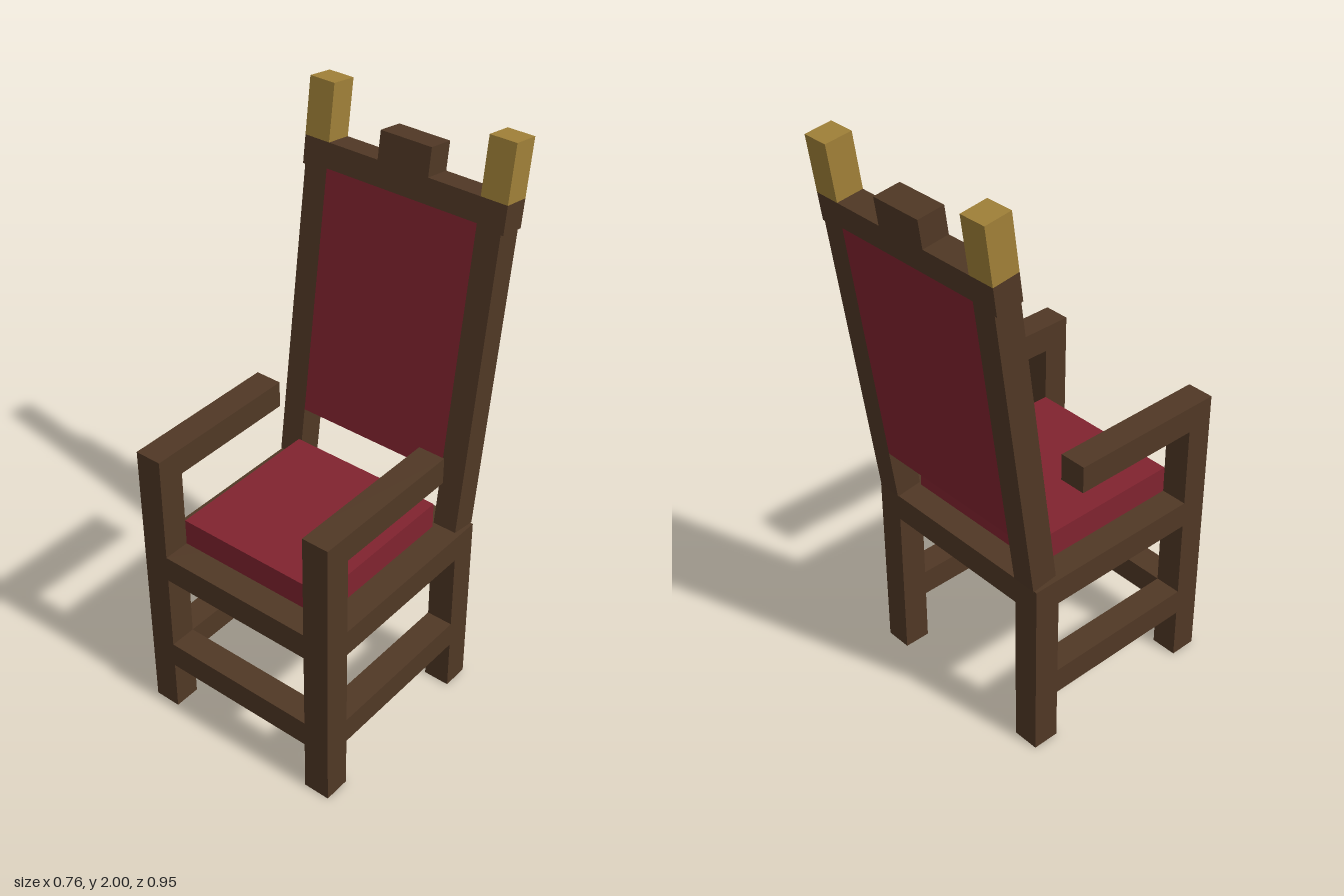
import * as THREE from 'three';

const U = 2 / 21; // timber thickness, the module of the whole chair

export function createModel() {
  const mat = (name, color) => {
    const m = new THREE.MeshStandardMaterial({ color });
    m.name = name;
    return m;
  };
  const wood = mat('dark wood', 0x503825);
  const fabric = mat('red upholstery', 0x80232f);
  const gold = mat('old gold', 0xa08038);

  const chair = new THREE.Group();
  chair.name = 'armchair';

  // Box given by its extents on each axis
  const box = (parent, name, material, [x0, x1], [y0, y1], [z0, z1]) => {
    const mesh = new THREE.Mesh(new THREE.BoxGeometry(x1 - x0, y1 - y0, z1 - z0), material);
    mesh.position.set((x0 + x1) / 2, (y0 + y1) / 2, (z0 + z1) / 2);
    mesh.name = name;
    parent.add(mesh);
  };
  // The same box on both sides of the chair
  const pair = (parent, name, material, [x0, x1], y, z) => {
    box(parent, name + 'Left', material, [x0, x1], y, z);
    box(parent, name + 'Right', material, [-x1, -x0], y, z);
  };

  const side = [3 * U, 4 * U];
  const inner = [-3 * U, 3 * U];
  const front = [4 * U, 5 * U];
  const back = [-3 * U, -2 * U];
  const between = [-2 * U, 4 * U];

  // Legs, arms and stretchers (the back is left open)
  pair(chair, 'frontLeg', wood, side, [0, 11 * U], front);
  pair(chair, 'backLeg', wood, side, [0, 7 * U], back);
  pair(chair, 'armrest', wood, side, [10 * U, 11 * U], [-U, 4 * U]);
  pair(chair, 'sideStretcher', wood, side, [2 * U, 3 * U], between);
  box(chair, 'frontStretcher', wood, inner, [2 * U, 3 * U], front);

  // Seat: board, rails and cushion
  pair(chair, 'sideSeatRail', wood, side, [6 * U, 7 * U], between);
  box(chair, 'seatBoard', wood, inner, [6 * U, 7 * U], [-3 * U, 5 * U]);
  box(chair, 'seatCushion', fabric, inner, [7 * U, 8 * U], between);

  // Backrest, built upright and leaned backwards
  const rest = new THREE.Group();
  rest.name = 'backrest';
  rest.position.set(0, 0.674, -0.243);
  rest.rotation.x = -THREE.MathUtils.degToRad(8);
  chair.add(rest);
  const depth = [-U / 2, U / 2];
  pair(rest, 'backPost', wood, [3 * U, 0.372], [0, 11 * U], depth);
  pair(rest, 'postCap', wood, side, [11 * U, 12 * U], depth);
  pair(rest, 'finial', gold, side, [12 * U, 14 * U], depth);
  box(rest, 'backPanel', fabric, inner, [2 * U, 1.058], depth);
  box(rest, 'topRail', wood, inner, [1.058, 12 * U], depth);
  box(rest, 'crest', wood, [-U, U], [12 * U, 13 * U], depth);

  return chair;
}
